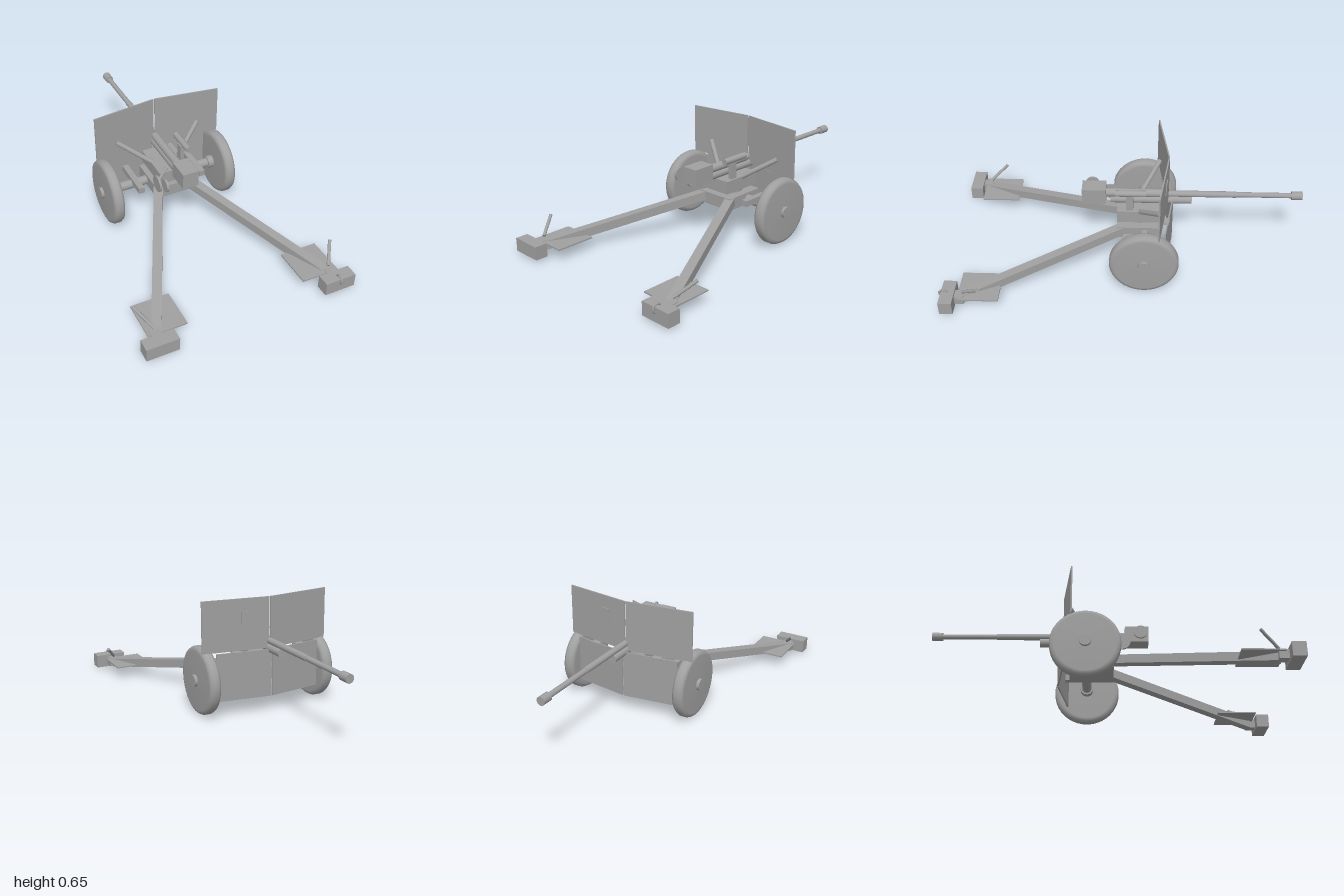
import * as THREE from 'three';

const grey = new THREE.MeshStandardMaterial({ color: 0xa0a0a0 });
grey.name = 'plain grey';

export function createModel() {
  const model = new THREE.Group();
  model.name = 'fieldGun';

  const add = (name, geometry, x = 0, y = 0, z = 0) => {
    const mesh = new THREE.Mesh(geometry, grey);
    mesh.name = name;
    mesh.position.set(x, y, z);
    model.add(mesh);
    return mesh;
  };
  // Box given by its limits on each axis
  const box = (name, [x0, x1], [y0, y1], [z0, z1]) =>
    add(name, new THREE.BoxGeometry(x1 - x0, y1 - y0, z1 - z0), (x0 + x1) / 2, (y0 + y1) / 2, (z0 + z1) / 2);
  // Cylinder running between two points
  const rod = (name, a, b, r, sides = 20) => {
    const p = new THREE.Vector3(...a), q = new THREE.Vector3(...b);
    const dir = q.clone().sub(p);
    const mesh = add(name, new THREE.CylinderGeometry(r, r, dir.length(), sides));
    mesh.position.copy(p).add(q).multiplyScalar(0.5);
    mesh.quaternion.setFromUnitVectors(new THREE.Vector3(0, 1, 0), dir.normalize());
    return mesh;
  };
  // Square beam between two points, kept upright
  const beam = (name, a, b, w, h) => {
    const p = new THREE.Vector3(...a), q = new THREE.Vector3(...b);
    const mesh = add(name, new THREE.BoxGeometry(w, h, p.distanceTo(q)));
    mesh.position.copy(p).add(q).multiplyScalar(0.5);
    mesh.lookAt(q);
    return mesh;
  };

  // Barrel, recoil cylinder and breech
  rod('muzzleCollar', [0, 0.403, -1], [0, 0.403, -0.94], 0.024);
  rod('barrel', [0, 0.403, -0.95], [0, 0.403, -0.6], 0.015);
  rod('barrelSleeve', [0, 0.403, -0.63], [0, 0.403, -0.2], 0.018);
  rod('barrelRear', [0, 0.405, -0.22], [0, 0.405, 0.11], 0.024);
  rod('recoilCylinder', [0, 0.364, -0.38], [0, 0.364, 0.08], 0.025);
  box('breech', [-0.047, 0.047], [0.355, 0.45], [0.105, 0.24]);

  // Cradle, pedestal and carriage base
  box('cradle', [-0.095, 0.095], [0.265, 0.34], [-0.21, 0.04]);
  rod('pedestal', [0, 0.23, -0.09], [0, 0.27, -0.09], 0.07);
  box('carriageBase', [-0.115, 0.115], [0.17, 0.24], [-0.21, 0.04]);

  // Sight on the cradle
  box('sightMount', [0.057, 0.082], [0.34, 0.45], [-0.05, -0.01]);
  rod('sightTube', [0.082, 0.458, -0.12], [0.082, 0.458, 0.05], 0.018);

  // Aiming handwheels
  rod('handwheelShaft', [-0.04, 0.345, 0.01], [-0.13, 0.325, 0.085], 0.009, 12);
  rod('elevatingHandwheel', [-0.136, 0.315, 0.085], [-0.124, 0.315, 0.085], 0.048, 24);
  rod('traversingHandwheel', [-0.136, 0.375, 0.19], [-0.124, 0.375, 0.19], 0.038, 24);

  // Axle
  rod('axle', [-0.3, 0.2, -0.115], [0.3, 0.2, -0.115], 0.027);

  // Wheel profile: radius, distance along the axle
  const wheelProfile = [
    [0, -0.034], [0.165, -0.034], [0.183, -0.028], [0.191, -0.014],
    [0.191, 0.014], [0.183, 0.028], [0.165, 0.034], [0, 0.037],
  ].map(([r, t]) => new THREE.Vector2(r, t));

  for (const s of [1, -1]) {
    // Wheel and hubs
    const wheel = add('wheel', new THREE.LatheGeometry(wheelProfile, 40), s * 0.352, 0.194, -0.115);
    wheel.rotation.z = -s * Math.PI / 2;
    rod('outerHub', [s * 0.37, 0.197, -0.115], [s * 0.405, 0.197, -0.115], 0.033);
    rod('innerHub', [s * 0.283, 0.2, -0.115], [s * 0.33, 0.2, -0.115], 0.037);

    // Swept-back shield: upper and lower plates
    const plate = (name, xEnd, zMid, zEnd, y0, y1) =>
      beam(name, [s * 0.004, (y0 + y1) / 2, zMid], [s * xEnd, (y0 + y1) / 2, zEnd], 0.008, y1 - y0);
    plate('upperShield', 0.384, -0.245, -0.192, 0.363, 0.65);
    plate('lowerShield', 0.315, -0.272, -0.228, 0.095, 0.363);
    beam('shieldHinge', [s * 0.17, 0.358, -0.235], [s * 0.22, 0.358, -0.23], 0.04, 0.01);

    // Shield supports
    box('supportBar', s > 0 ? [0.175, 0.21] : [-0.21, -0.175], [0.21, 0.245], [-0.24, 0.005]);
    rod('shieldBrace', [s * 0.085, 0.335, -0.09], [s * 0.255, 0.452, -0.2], 0.014, 12);

    // Split trail with its ground plate and spade
    beam('trail', [s * 0.092, 0.215, 0.01], [s * 0.5, 0.052, 0.87], 0.052, 0.05);
    box('trailPlate', s > 0 ? [0.34, 0.555] : [-0.555, -0.34], [0.069, 0.077], [0.67, 0.895]);
    box('spadeNeck', s > 0 ? [0.485, 0.54] : [-0.54, -0.485], [0.03, 0.08], [0.86, 0.93]);
    box('spade', s > 0 ? [0.425, 0.605] : [-0.605, -0.425], [0.016, 0.093], [0.912, 0.985]);
    rod('trailHandle', [s * 0.512, 0.095, 0.867], [s * 0.578, 0.172, 0.767], 0.009, 12);
  }

  // Towing ring on the left spade
  const ring = add('towingRing', new THREE.TorusGeometry(0.023, 0.006, 8, 20), 0.513, 0.083, 0.971);
  ring.rotation.y = Math.PI / 2;

  // Small cover on the shield's left plate
  const cover = add('sightCover', new THREE.BoxGeometry(0.055, 0.072, 0.009), 0.135, 0.543, -0.2315);
  cover.rotation.y = -Math.atan2(0.053, 0.38);

  return model;
}
